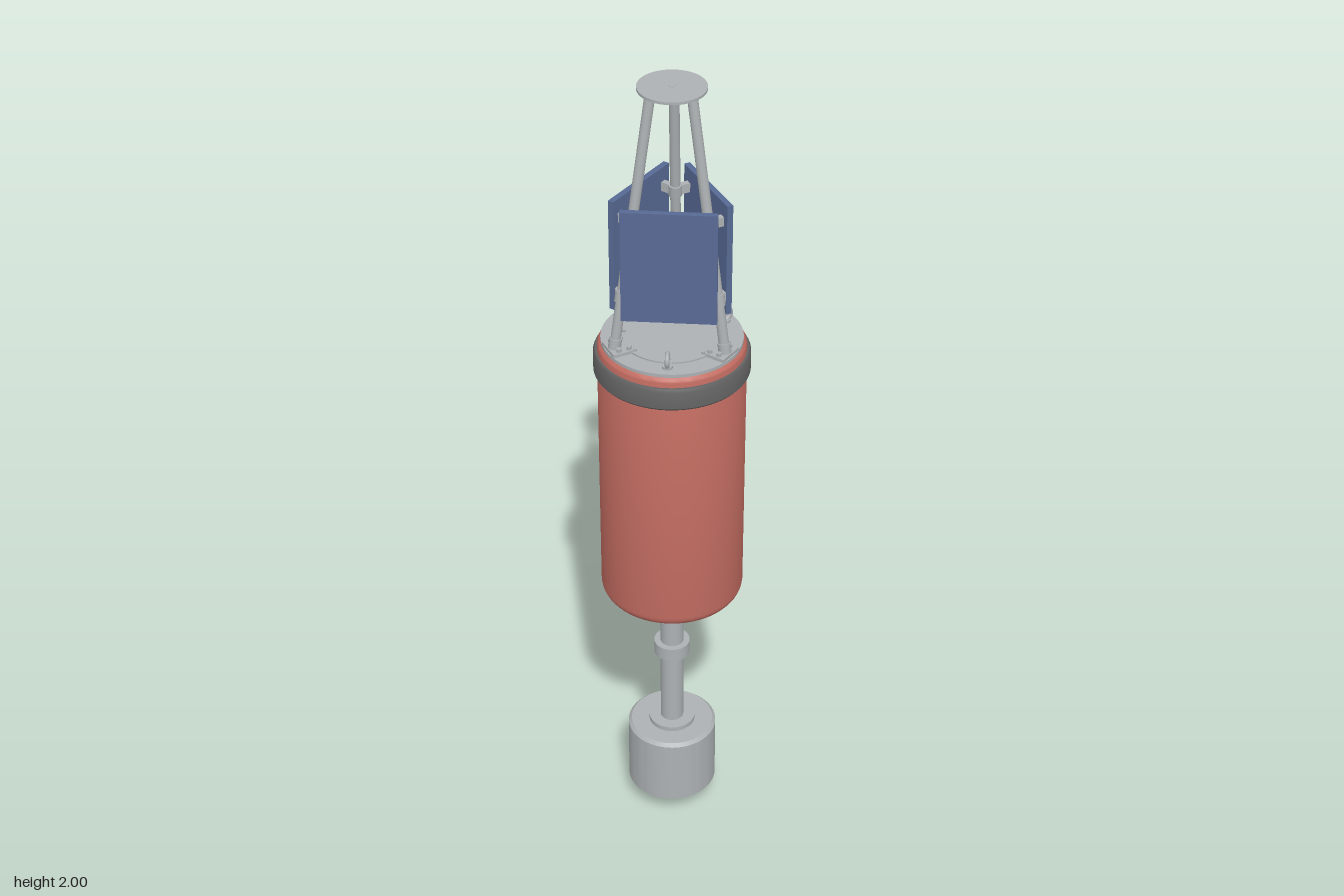
import * as THREE from 'three';
import { toCreasedNormals } from 'three/addons/utils/BufferGeometryUtils.js';

const material = (name, color) => {
  const m = new THREE.MeshStandardMaterial({ color });
  m.name = name;
  return m;
};

export function createModel() {
  const red = material('hullRed', 0xc26c61);
  const grey = material('metalGrey', 0xadb1b3);
  const dark = material('rubberDark', 0x626362);
  const blue = material('panelBlue', 0x586a94);

  const buoy = new THREE.Group();
  buoy.name = 'buoy';

  const add = (parent, name, geometry, mat, x = 0, y = 0, z = 0) => {
    const mesh = new THREE.Mesh(geometry, mat);
    mesh.name = name;
    mesh.position.set(x, y, z);
    parent.add(mesh);
    return mesh;
  };
  // Upright cylinder between two heights
  const disc = (parent, name, r, y0, y1, mat, x = 0, z = 0, sides = 48) =>
    add(parent, name, new THREE.CylinderGeometry(r, r, y1 - y0, sides), mat, x, (y0 + y1) / 2, z);
  // Turned part from [radius, height] pairs, bottom to top
  const turned = (name, pts, mat) => add(buoy, name, toCreasedNormals(
    new THREE.LatheGeometry(pts.map(p => new THREE.Vector2(...p)), 64), 0.6), mat);
  // Round bar between two points
  const bar = (parent, name, a, b, r, mat) => {
    const dir = b.clone().sub(a);
    const mesh = add(parent, name, new THREE.CylinderGeometry(r, r, dir.length(), 16), mat);
    mesh.position.copy(a).add(b).multiplyScalar(0.5);
    mesh.quaternion.setFromUnitVectors(new THREE.Vector3(0, 1, 0), dir.normalize());
    return mesh;
  };

  // Float with rounded ends
  const profile = [[0, 0.675]];
  for (let i = 0; i <= 6; i++) {
    const a = i / 6 * Math.PI / 2;
    profile.push([0.138 + 0.03 * Math.sin(a), 0.705 - 0.03 * Math.cos(a)]);
  }
  for (let i = 0; i <= 6; i++) {
    const a = i / 6 * Math.PI / 2;
    profile.push([0.148 + 0.02 * Math.cos(a), 1.36 + 0.02 * Math.sin(a)]);
  }
  profile.push([0, 1.38]);
  turned('hull', profile, red);

  // Rubber fender
  turned('fender', [[0.165, 1.299], [0.173, 1.299], [0.177, 1.304],
    [0.177, 1.346], [0.173, 1.354], [0.165, 1.354]], dark);

  // Deck, hatch and lower plate
  disc(buoy, 'deck', 0.16, 1.37, 1.384, grey, 0, 0, 64);
  disc(buoy, 'hatch', 0.117, 1.38, 1.388, grey, 0, 0, 64);
  disc(buoy, 'bottomPlate', 0.138, 0.668, 0.68, grey, 0, 0, 64);
  disc(buoy, 'bottomFlange', 0.06, 0.658, 0.67, grey);
  for (let i = 0; i < 8; i++) {
    const a = i * Math.PI / 4, s = Math.sin(a), c = Math.cos(a);
    disc(buoy, 'hatchBolt', 0.005, 1.385, 1.394, grey, 0.107 * s, 0.107 * c, 6);
    disc(buoy, 'bottomBolt', 0.007, 0.659, 0.67, grey, 0.122 * s, 0.122 * c, 6);
  }

  // Pole, collar and ballast
  disc(buoy, 'pole', 0.028, 0.25, 0.67, grey);
  disc(buoy, 'poleCollar', 0.043, 0.47, 0.505, grey);
  disc(buoy, 'ballastFlange', 0.056, 0.25, 0.266, grey);
  turned('ballast', [[0, 0.075], [0.108, 0.075], [0.108, 0.246], [0.1, 0.254], [0, 0.254]], grey);

  // Mooring lug with an eye
  const lug = new THREE.Shape();
  lug.moveTo(-0.03, 0.08);
  lug.lineTo(-0.03, 0.03);
  lug.absarc(0, 0.03, 0.03, Math.PI, Math.PI * 2, false);
  lug.lineTo(0.03, 0.08);
  const eye = new THREE.Path();
  eye.absarc(0, 0.034, 0.012, 0, Math.PI * 2, true);
  lug.holes.push(eye);
  const lugGeometry = new THREE.ExtrudeGeometry(lug, { depth: 0.014, bevelEnabled: false, curveSegments: 16 });
  lugGeometry.translate(0, 0, -0.007).rotateY(Math.PI / 2);
  add(buoy, 'mooringLug', lugGeometry, grey);

  // Tower: panel and lifting eye toward +z, leg toward -z, three times round
  const legPoint = y => new THREE.Vector3(0, y, -(0.142 - 0.092 * (y - 1.384) / 0.612));
  for (let k = 0; k < 3; k++) {
    const sector = new THREE.Group();
    sector.name = 'towerSector';
    sector.rotation.y = k * Math.PI * 2 / 3;
    buoy.add(sector);

    // Leg, foot and clamps
    bar(sector, 'towerLeg', legPoint(1.384), legPoint(1.996), 0.0115, grey);
    bar(sector, 'legSocket', legPoint(1.384), legPoint(1.415), 0.0145, grey);
    add(sector, 'legFoot', new THREE.BoxGeometry(0.062, 0.008, 0.05), grey, 0, 1.388, -0.132);
    for (const x of [-0.022, 0.022])
      for (const z of [-0.116, -0.14])
        disc(sector, 'footBolt', 0.006, 1.39, 1.4, grey, x, z, 6);

    for (const y of [1.52, 1.7])
      bar(sector, 'legClamp', legPoint(y - 0.014), legPoint(y + 0.014), 0.015, grey);

    // Solar panel and its brackets
    add(sector, 'solarPanel', new THREE.BoxGeometry(0.21, 0.27, 0.014), blue, 0, 1.61, 0.087);
    for (const side of [-1, 1])
      for (const y of [1.52, 1.7]) {
        const r = -legPoint(y).z;
        const x = Math.min(r * 0.866, 0.097), z = r * 0.5;
        add(sector, 'panelBracket', new THREE.BoxGeometry(0.014, 0.022, 0.081 - z),
          grey, side * x, y, (0.081 + z) / 2);
      }

    // Lifting eye
    disc(sector, 'eyeBase', 0.012, 1.38, 1.39, grey, 0, 0.132, 16);
    const ring = add(sector, 'liftingEye', new THREE.TorusGeometry(0.0145, 0.005, 10, 24), grey, 0, 1.404, 0.132);
    ring.rotation.y = Math.PI / 2;
  }

  // Top plate with a small centre stud
  disc(buoy, 'topPlate', 0.075, 1.993, 1.999, grey);
  disc(buoy, 'topStud', 0.007, 1.997, 2.0, grey, 0, 0, 12);
  return buoy;
}
